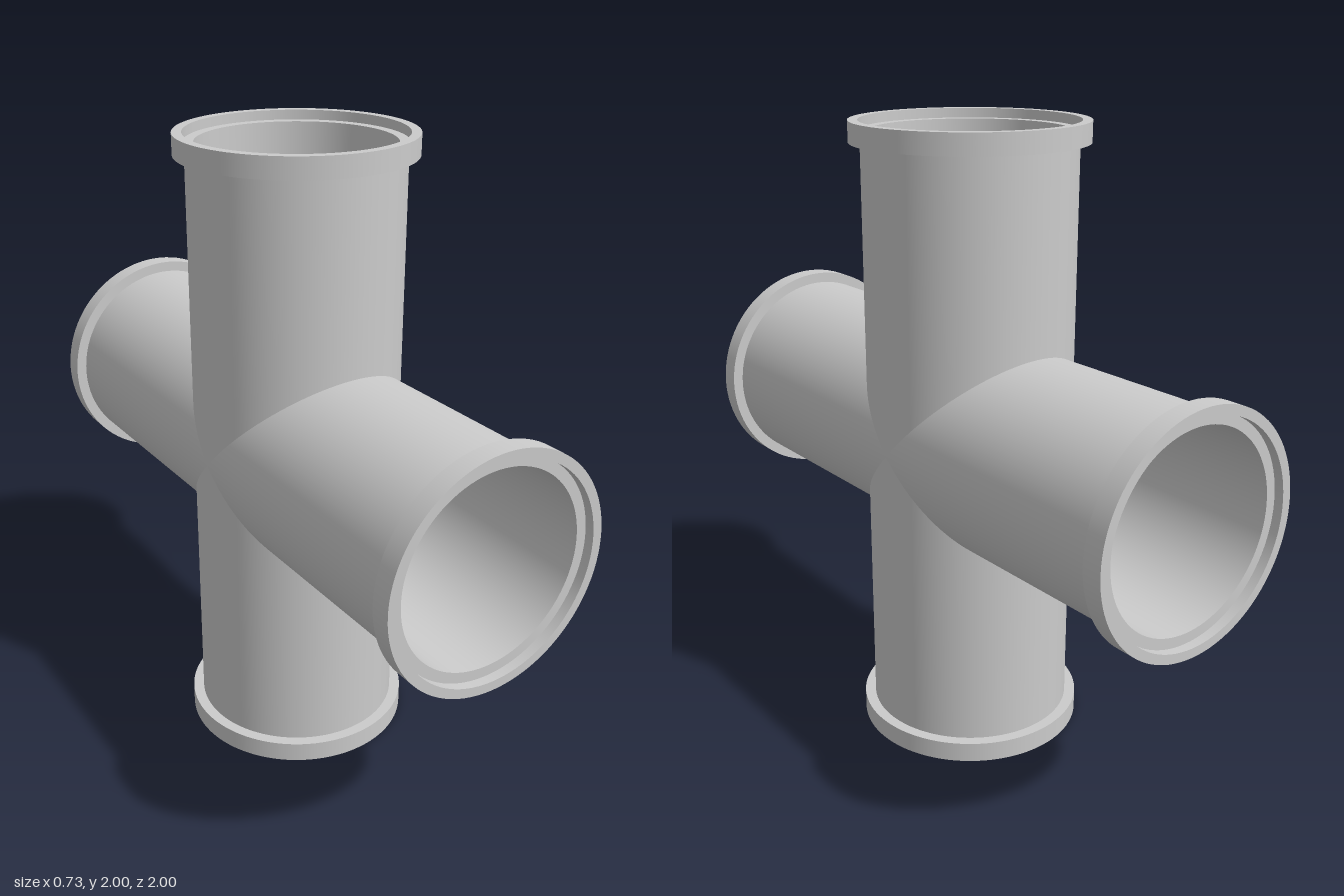
import * as THREE from 'three';
import { mergeGeometries } from 'three/addons/utils/BufferGeometryUtils.js';

const OUTER = 0.33, BORE = 0.302, COLLAR = 0.365, SOCKET = 0.335;
const SEGMENTS = 96;

// One lathe per profile edge keeps the rims sharp and the walls smooth.
// Points at height 0 are raised to the mitre plane y = |z|, where arms meet.
function revolve(profile) {
  const bands = [];
  for (let i = 0; i < profile.length - 1; i++) {
    const pair = [profile[i], profile[i + 1]].map(([r, y]) => new THREE.Vector2(r, y));
    const band = new THREE.LatheGeometry(pair, SEGMENTS);
    const p = band.attributes.position;
    for (let v = 0; v < p.count; v++) {
      if (p.getY(v) === 0) p.setY(v, Math.abs(p.getZ(v)));
    }
    bands.push(band);
  }
  return mergeGeometries(bands);
}

export function createModel() {
  const model = new THREE.Group();
  model.name = 'crossPipeFitting';
  const material = new THREE.MeshStandardMaterial({ color: 0xcccccc, side: THREE.DoubleSide });

  // Pipe walls, mitred at the centre
  const outerWall = revolve([[OUTER, 0], [OUTER, 0.935]]);
  const innerWall = revolve([[BORE, 0.97], [BORE, 0]]);
  const pipe = mergeGeometries([outerWall, innerWall]);

  // End collar with a shallow stepped socket
  const collar = revolve([
    [OUTER, 0.935], [COLLAR, 0.935], [COLLAR, 1],
    [SOCKET, 1], [SOCKET, 0.97], [BORE, 0.97],
  ]);

  // Four arms: up, front, down, back
  ['top', 'front', 'bottom', 'back'].forEach((side, i) => {
    const arm = new THREE.Group();
    arm.name = side + 'Arm';
    const pipeMesh = new THREE.Mesh(pipe, material);
    pipeMesh.name = side + 'Pipe';
    const collarMesh = new THREE.Mesh(collar, material);
    collarMesh.name = side + 'Collar';
    arm.add(pipeMesh, collarMesh);
    arm.rotation.x = i * Math.PI / 2;
    arm.position.y = 1;
    model.add(arm);
  });

  return model;
}
